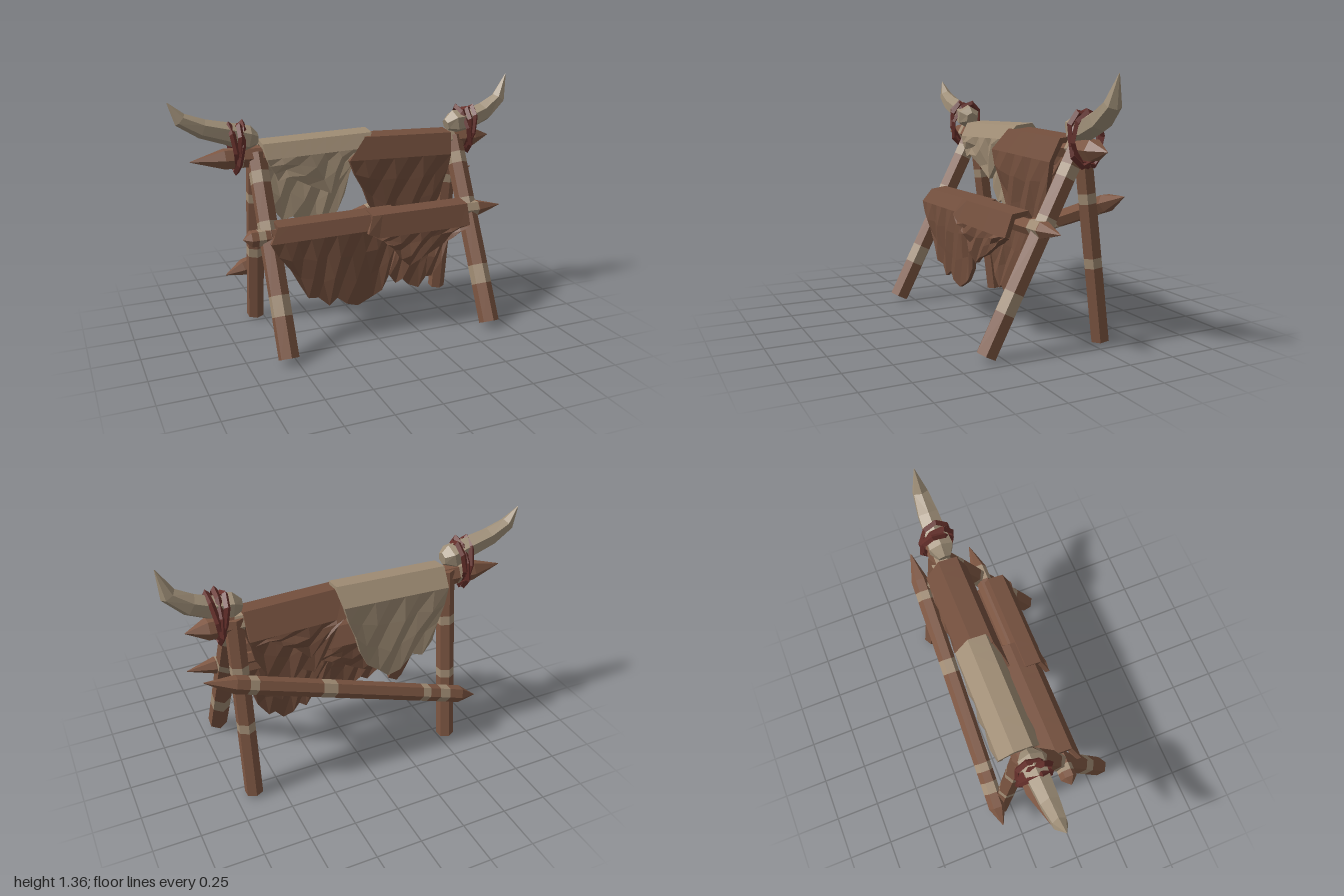
import * as THREE from 'three';

const mat = (name, color, side = THREE.FrontSide) => {
  const m = new THREE.MeshStandardMaterial({ color, flatShading: true, side });
  m.name = name;
  return m;
};

// Skin through closed rings ordered along +x; ends are closed with strips.
function loft(rings) {
  const L = rings[0].length, pos = rings.flat(2), idx = [];
  const quad = (a, b, c, d) => idx.push(a, b, c, a, c, d);
  for (let i = 0; i < rings.length - 1; i++) {
    for (let k = 0; k < L; k++) {
      const n = (k + 1) % L;
      quad(i * L + k, (i + 1) * L + k, (i + 1) * L + n, i * L + n);
    }
  }
  const e = (rings.length - 1) * L;
  for (let k = 0; k < L / 2 - 1; k++) {
    quad(k, k + 1, L - 2 - k, L - 1 - k);
    quad(e + k, e + L - 1 - k, e + L - 2 - k, e + k + 1);
  }
  const g = new THREE.BufferGeometry();
  g.setAttribute('position', new THREE.Float32BufferAttribute(pos, 3));
  g.setIndex(idx);
  const flat = g.toNonIndexed();
  flat.computeVertexNormals();
  return flat;
}

export function createModel() {
  const model = new THREE.Group();
  model.name = 'hideDryingRack';
  const wood = mat('wood', 0x7d5642);
  const bare = mat('bareWood', 0xa28d75);
  const brownHide = mat('brownHide', 0x734f3d);
  const paleHide = mat('paleHide', 0x9f8c74);
  const horn = mat('horn', 0xa09079);
  const binding = mat('binding', 0x66302b);

  const add = (name, geo, material, parent = model) => {
    const m = new THREE.Mesh(geo, material);
    m.name = name;
    parent.add(m);
    return m;
  };

  // Six-sided pole from a to b, with pale bands [start, end] and optional pointed tips
  function pole(name, a, b, r, bands, tipA = 0, tipB = 0) {
    const A = new THREE.Vector3(...a), B = new THREE.Vector3(...b);
    const len = A.distanceTo(B), g = new THREE.Group();
    g.name = name;
    g.position.copy(A);
    g.quaternion.setFromUnitVectors(new THREE.Vector3(0, 1, 0), B.clone().sub(A).normalize());
    const piece = (label, s, e, r0, r1, m) =>
      add(label, new THREE.CylinderGeometry(r1, r0, e - s, 6).translate(0, (s + e) / 2, 0), m, g);
    let s = tipA;
    for (const [p, q] of bands) {
      piece('shaft', s, p * len, r, r, wood);
      piece('band', p * len, q * len, r, r, bare);
      s = q * len;
    }
    piece('shaft', s, len - tipB, r, r, wood);
    if (tipA) piece('tip', 0, tipA, 0.002, r, wood);
    if (tipB) piece('tip', len - tipB, len, r, 0.002, wood);
    model.add(g);
  }

  // Legs, one leaning pair on each side
  for (const [side, x] of [['right', -0.545], ['left', 0.65]]) {
    pole(side + 'FrontLeg', [x, 0.022, 0.335], [x, 1.0, -0.165], 0.056, [[0.2, 0.3], [0.61, 0.66], [0.85, 0.91]]);
    pole(side + 'BackLeg', [x, 0.006, -0.315], [x, 1.03, -0.185], 0.05, [[0.38, 0.43], [0.7, 0.75]]);
  }

  // Cross poles
  pole('topPole', [-0.9, 0.985, -0.17], [0.89, 0.995, -0.17], 0.058, [[0.13, 0.155], [0.84, 0.865]], 0.18, 0.11);
  pole('frontPole', [-0.69, 0.6, 0.055], [0.855, 0.62, 0.055], 0.046, [[0.05, 0.075], [0.84, 0.9]], 0.04, 0.15);
  pole('backPole', [-0.7, 0.26, -0.35], [0.855, 0.775, -0.295], 0.048,
    [[0.12, 0.16], [0.2, 0.23], [0.56, 0.61], [0.83, 0.86]], 0.11, 0.16);

  // Horns: rows of [x, y, radius]
  const hornPaths = {
    rightHorn: [[-1, 1.305, 0.002], [-0.94, 1.215, 0.038], [-0.83, 1.16, 0.052], [-0.7, 1.125, 0.06],
      [-0.59, 1.09, 0.07], [-0.54, 1.085, 0.035]],
    leftHorn: [[0.6, 1.075, 0.035], [0.65, 1.09, 0.07], [0.75, 1.1, 0.062], [0.85, 1.14, 0.058],
      [0.945, 1.215, 0.042], [0.99, 1.355, 0.002]],
  };
  for (const [name, path] of Object.entries(hornPaths)) {
    const rings = path.map(([x, y, r], i) => {
      const p = path[Math.max(i - 1, 0)], q = path[Math.min(i + 1, path.length - 1)];
      const t = new THREE.Vector2(q[0] - p[0], q[1] - p[1]).normalize();
      return [0, 1, 2, 3, 4, 5].map((k) => {
        const a = (k * Math.PI) / 3 + Math.PI / 6, u = r * Math.sin(a);
        return [x - t.y * u, y + t.x * u, -0.155 + r * 1.05 * Math.cos(a)];
      });
    });
    add(name, loft(rings), horn);
  }

  // Crossed bindings lashing the horns to the top pole
  for (const [name, x, s] of [['rightBinding', -0.65, 1], ['leftBinding', 0.72, -1]]) {
    const g = new THREE.Group();
    g.name = name;
    for (const [dx, tilt, lean] of [[-0.02, 0.17, 0.15], [0.012, -0.2, -0.2], [0.0, -0.05, 0.35]]) {
      const geo = new THREE.TorusGeometry(0.1, 0.015, 4, 8).rotateY(Math.PI / 2).scale(1.1, 1.32, 0.85);
      const ring = add('loop', geo, binding, g);
      ring.position.set(dx * s, 0, 0);
      ring.rotation.set(lean, 0, tilt * s);
    }
    g.position.set(x, 1.045, -0.16);
    model.add(g);
  }

  // Hide folded over a pole. xF, xR, xB: x ranges at front shoulder, ridge and back shoulder;
  // front and back: the ragged lower edges, left to right.
  function hide(name, material, { z, d, y, drop, xF, xR, xB, front, back }) {
    const n = front.length, mix = THREE.MathUtils.lerp;
    const rings = front.map((f, i) => {
      const t = i / (n - 1), top = mix(y[0], y[1], t);
      const wave = [0, 0.012, -0.008, 0.01, -0.012, 0.008, -0.006][i % 7];
      const section = (inset) => {
        const D = d - inset, Y = top - inset;
        const flap = (edge, xs, sgn) => {
          const sx = mix(xs[0], xs[1], t), sy = Math.max(top - drop, edge[1] + 0.02);
          const fall = top - edge[1], low = 1 - 0.5 * Math.max(0, fall - 0.1);
          return [
            [edge[0], edge[1], z + sgn * (D * low + wave * 0.5)],
            [mix(edge[0], sx, 0.3), mix(edge[1], sy, 0.35), z + sgn * (D * (low + 1) / 2 - wave)],
            [mix(edge[0], sx, 0.75), mix(edge[1], sy, 0.7), z + sgn * (D + wave)],
            [sx, sy, z + sgn * D],
          ];
        };
        const rx = mix(xR[0], xR[1], t);
        return [
          ...flap(f, xF, 1),
          [rx, Y - 0.012, z + D * 0.6], [rx, Y, z - D * 0.3],
          ...flap(back[i], xB, -1).reverse(),
        ];
      };
      return [...section(0), ...section(0.026).reverse()];
    });
    add(name, loft(rings), material);
  }

  hide('upperPaleHide', paleHide, {
    z: -0.18, d: 0.11, y: [1.072, 1.09], drop: 0.09, xF: [-0.51, 0.06], xR: [-0.52, 0.11], xB: [-0.51, 0.1],
    front: [[-0.45, 0.86], [-0.39, 0.88], [-0.28, 0.82], [-0.15, 0.76], [-0.1, 0.83], [-0.05, 0.89], [0, 0.93], [0.04, 0.95]],
    back: [[-0.44, 0.66], [-0.38, 0.58], [-0.32, 0.6], [-0.25, 0.52], [-0.18, 0.49], [-0.12, 0.55], [-0.05, 0.6], [0, 0.7]],
  });
  hide('upperBrownHide', brownHide, {
    z: -0.16, d: 0.115, y: [1.07, 1.055], drop: 0.13, xF: [-0.05, 0.58], xR: [0.06, 0.6], xB: [0.06, 0.6],
    front: [[0.07, 0.68], [0.12, 0.6], [0.19, 0.52], [0.26, 0.55], [0.33, 0.48], [0.4, 0.54], [0.46, 0.57], [0.52, 0.68]],
    back: [[0.1, 0.93], [0.15, 0.88], [0.2, 0.82], [0.28, 0.74], [0.36, 0.82], [0.43, 0.86], [0.5, 0.9], [0.56, 0.88]],
  });
  hide('lowerRightHide', brownHide, {
    z: 0.065, d: 0.1, y: [0.68, 0.69], drop: 0.09, xF: [-0.57, 0.16], xR: [-0.52, 0.16], xB: [-0.5, 0.2],
    front: [[-0.42, 0.35], [-0.37, 0.26], [-0.31, 0.25], [-0.25, 0.195], [-0.2, 0.23], [-0.15, 0.19], [-0.08, 0.165],
      [0.01, 0.21], [0.06, 0.24], [0.1, 0.31], [0.14, 0.46]],
    back: [[-0.47, 0.52], [-0.42, 0.5], [-0.36, 0.45], [-0.28, 0.42], [-0.2, 0.37], [-0.14, 0.4], [-0.06, 0.44],
      [0, 0.48], [0.06, 0.51], [0.11, 0.53], [0.16, 0.55]],
  });
  hide('lowerLeftHide', brownHide, {
    z: 0.1, d: 0.1, y: [0.69, 0.695], drop: 0.13, xF: [-0.04, 0.58], xR: [0, 0.58], xB: [0.04, 0.59],
    front: [[0.02, 0.57], [0.07, 0.52], [0.12, 0.48], [0.16, 0.42], [0.215, 0.37], [0.28, 0.41], [0.35, 0.44],
      [0.42, 0.48], [0.48, 0.51], [0.52, 0.53], [0.555, 0.55]],
    back: [[0.09, 0.42], [0.12, 0.32], [0.16, 0.27], [0.2, 0.215], [0.24, 0.24], [0.28, 0.195], [0.34, 0.17],
      [0.39, 0.23], [0.43, 0.225], [0.49, 0.31], [0.53, 0.45]],
  });

  return model;
}
